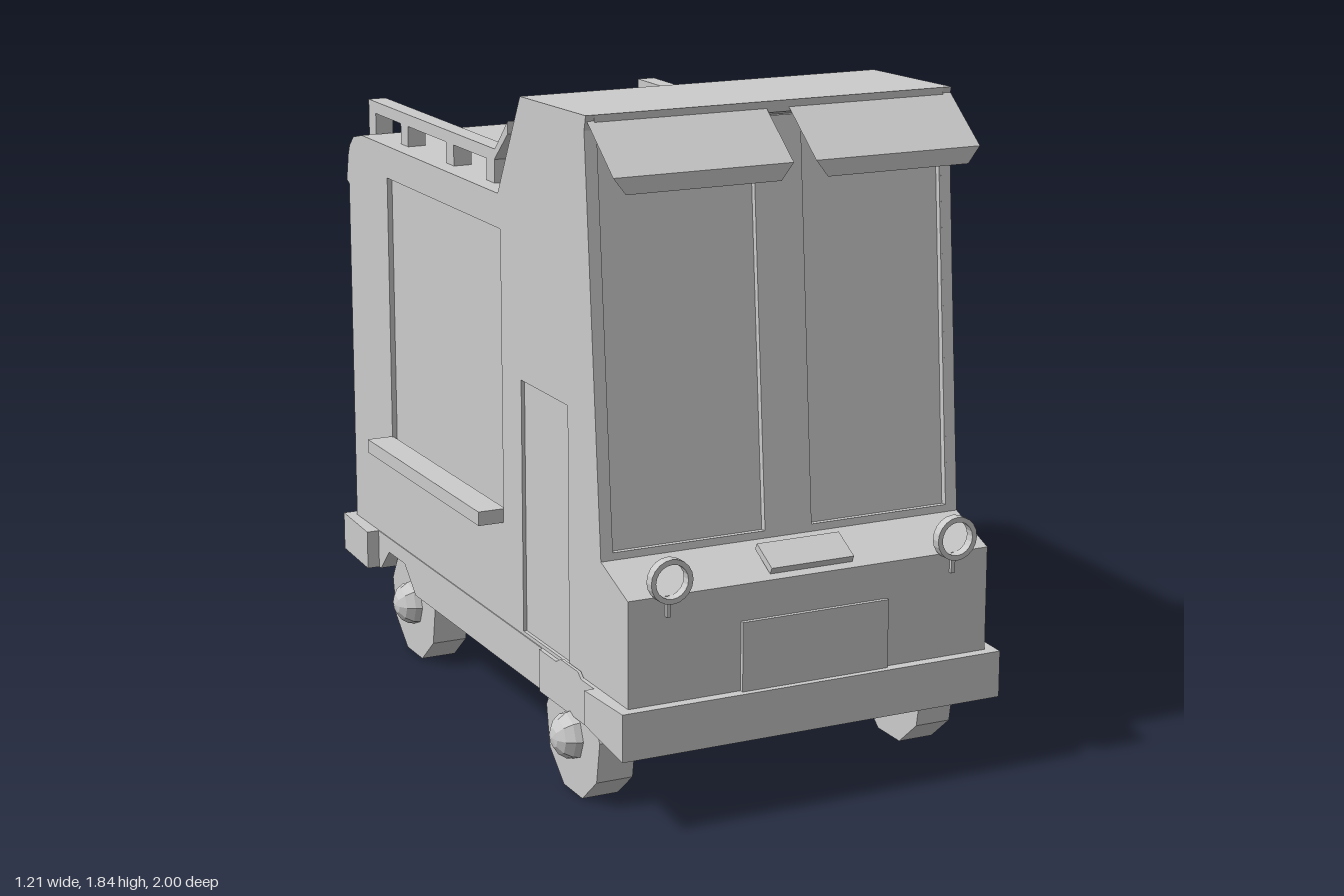
import * as THREE from 'three';
import { ConvexGeometry } from 'three/addons/geometries/ConvexGeometry.js';

const mat = new THREE.MeshStandardMaterial({ color: 0xcccccc, flatShading: true, side: THREE.DoubleSide });

export function createModel() {
  const model = new THREE.Group();

  const add = (name, geometry, parent = model) => {
    const mesh = new THREE.Mesh(geometry, mat);
    mesh.name = name;
    parent.add(mesh);
    return mesh;
  };
  // Box given by its limits on each axis
  const box = (name, x0, x1, y0, y1, z0, z1) => {
    const m = add(name, new THREE.BoxGeometry(x1 - x0, y1 - y0, z1 - z0));
    m.position.set((x0 + x1) / 2, (y0 + y1) / 2, (z0 + z1) / 2);
    return m;
  };
  const shapeOf = pts => new THREE.Shape(pts.map(p => new THREE.Vector2(p[0], p[1])));
  const rect = (a0, a1, b0, b1) => [[a0, b0], [a1, b0], [a1, b1], [a0, b1]];
  // Side profile of [z, y] points extruded from x0 to x1
  const profile = (name, pts, x0, x1, holes = []) => {
    const shape = shapeOf(pts);
    shape.holes = holes.map(shapeOf);
    const m = add(name, new THREE.ExtrudeGeometry(shape, { depth: x1 - x0, bevelEnabled: false }));
    m.rotation.y = -Math.PI / 2;
    m.position.x = x1;
    return m;
  };

  // Side walls, with serving window and door set into the right one
  const wall = [[-0.965, 0.34], [0.97, 0.34], [0.97, 0.63], [0.81, 0.69], [0.72, 1.8], [0.73, 1.84],
    [0.32, 1.83], [0.165, 1.545], [-0.85, 1.545], [-0.92, 1.53], [-0.955, 1.5], [-0.965, 1.46]];
  const windowRect = rect(-0.65, 0.18, 0.64, 1.45);
  const doorRect = rect(0.31, 0.61, 0.35, 1.06);
  profile('leftWall', wall, 0.505, 0.535);
  profile('rightWall', wall, -0.535, -0.505, [windowRect, doorRect]);
  profile('servingWindow', windowRect, -0.52, -0.51);
  profile('sideDoor', doorRect, -0.525, -0.51);
  box('servingShelf', -0.61, -0.53, 0.625, 0.665, -0.66, 0.18);

  // Roof, windscreen and nose as one bent sheet
  profile('roofAndFrontShell', [
    [0.97, 0.34], [0.97, 0.63], [0.81, 0.69], [0.79, 0.7], [0.703, 1.8], [0.73, 1.81], [0.73, 1.84],
    [0.32, 1.83], [0.165, 1.545], [-0.85, 1.545], [-0.92, 1.53], [-0.955, 1.5], [-0.965, 1.46],
    [-0.935, 1.46], [-0.9, 1.505], [-0.85, 1.515], [0.183, 1.515], [0.338, 1.8], [0.68, 1.8],
    [0.765, 0.67], [0.94, 0.6], [0.94, 0.34]], -0.51, 0.51);

  // Windscreen frame with two panes
  const frameShape = shapeOf(rect(-0.53, 0.53, 0, 1.114));
  frameShape.holes = [[-0.5, -0.055], [0.085, 0.5]].map(([a, b]) => shapeOf(rect(a, b, 0.02, 1.09)));
  const frame = add('windscreenFrame', new THREE.ExtrudeGeometry(frameShape, { depth: 0.02, bevelEnabled: false }));
  frame.geometry.translate(0, 0, -0.02);
  frame.position.set(0, 0.69, 0.81);
  frame.rotation.x = -0.081;

  // Awnings over the windscreen
  for (const [a, b] of [[-0.53, -0.02], [0.045, 0.535]]) {
    const pts = [];
    for (const [inset, y, z] of [[0, 1.825, 0.725], [0, 1.705, 0.88], [0.035, 1.66, 0.88], [0.035, 1.79, 0.72]])
      pts.push(new THREE.Vector3(a + inset, y, z), new THREE.Vector3(b - inset, y, z));
    add('windscreenAwning', new ConvexGeometry(pts));
  }

  // Open rear end and floor
  box('floor', -0.51, 0.51, 0.34, 0.4, -0.95, 0.95);
  box('rearLowerWall', -0.51, 0.51, 0.34, 0.66, -0.965, -0.935);
  box('rearHeader', -0.51, 0.51, 1.41, 1.49, -0.955, -0.93);
  profile('rearLip', [[-0.955, 1.5], [-0.968, 1.47], [-0.985, 1.39], [-0.965, 1.38], [-0.945, 1.47]], -0.535, 0.54);
  for (const s of [-1, 1]) {
    const x = s * 0.505;
    box('rearJamb', x - 0.015, x + 0.015, 0.4, 1.46, -0.965, -0.83);
  }

  // Chassis with wheel tunnels across its whole width
  profile('chassis', [[-0.95, 0.225], [-0.76, 0.225], [-0.69, 0.295], [-0.565, 0.295], [-0.48, 0.22],
    [0.47, 0.22], [0.54, 0.31], [0.74, 0.31], [0.79, 0.23], [0.95, 0.22], [0.95, 0.34], [-0.95, 0.34]], -0.538, 0.538);
  for (const s of [-1, 1]) {
    profile('frontWheelFlare', [[0.44, 0.22], [0.81, 0.22], [0.81, 0.34], [0.71, 0.34], [0.69, 0.355],
      [0.58, 0.355], [0.55, 0.34], [0.44, 0.34]], s * 0.5425 - 0.0045, s * 0.5425 + 0.0045);
  }

  // Bumpers, slightly wider at their inner ends
  const bumper = (name, pts) => {
    const m = profile(name, pts, -0.565, 0.565);
    const p = m.geometry.attributes.position;
    for (let i = 0; i < p.count; i++)
      if (Math.abs(p.getX(i)) < 0.9) p.setZ(i, p.getZ(i) > 0.5 ? 1.14 : -0.01);
    m.geometry.computeVertexNormals();
  };
  bumper('frontBumper', [[0.79, 0.245], [1, 0.21], [1, 0.34], [0.79, 0.34]]);
  bumper('rearBumper', rect(-1, -0.775, 0.225, 0.34));

  // Nose plate and hood vent
  box('nosePlate', -0.21, 0.225, 0.34, 0.53, 0.965, 0.982);
  const vent = add('hoodVent', new THREE.BoxGeometry(0.245, 0.02, 0.095));
  vent.position.set(0.008, 0.67, 0.912);
  vent.rotation.x = 0.48;

  // Ring headlamps on short stems
  const ringProfile = [[0.046, -0.014], [0.06, -0.014], [0.06, 0.014], [0.046, 0.014], [0.046, -0.014]]
    .map(p => new THREE.Vector2(...p));
  for (const s of [-1, 1]) {
    const ring = add('headlampRing', new THREE.LatheGeometry(ringProfile, 20));
    ring.rotation.x = Math.PI / 2;
    ring.position.set(s * 0.423, 0.675, 0.985);
    box('headlampStem', s * 0.423 - 0.006, s * 0.423 + 0.006, 0.575, 0.62, 0.965, 0.98);
  }

  // Roof rails with posts and raised front tips
  for (const x of [-0.457, 0.438]) {
    const a = x - 0.027, b = x + 0.027;
    profile('roofRail', [[-0.92, 1.605], [0.02, 1.605], [0.12, 1.695], [0.12, 1.73], [0.03, 1.64], [-0.92, 1.64]], a, b);
    for (const z of [0, -0.29, -0.635, -0.892])
      box('railPost', a, b, 1.53, 1.61, z - 0.028, z + 0.028);
  }

  // Nine-sided wheels, flat on the ground, with round hubs
  for (const [z, outer, name] of [[0.64, 0.54, 'frontWheel'], [-0.59, 0.5, 'rearWheel']]) {
    for (const s of [-1, 1]) {
      const wheel = new THREE.Group();
      wheel.name = name;
      const tyre = add('tyre', new THREE.CylinderGeometry(0.172, 0.172, 0.105, 9), wheel);
      tyre.geometry.rotateY(Math.PI / 2);
      tyre.geometry.rotateZ(Math.PI / 2);
      // Turn until a vertex points straight up
      const p = tyre.geometry.attributes.position;
      tyre.rotation.x = Math.atan2(p.getZ(0), p.getY(0));
      tyre.rotation.x *= -1;
      const hub = add('hub', new THREE.SphereGeometry(0.07, 8, 8).rotateZ(Math.PI / 2), wheel);
      hub.position.x = s * 0.045;
      wheel.position.set(s * (outer - 0.0525), 0.162, z);
      model.add(wheel);
    }
  }

  return model;
}
